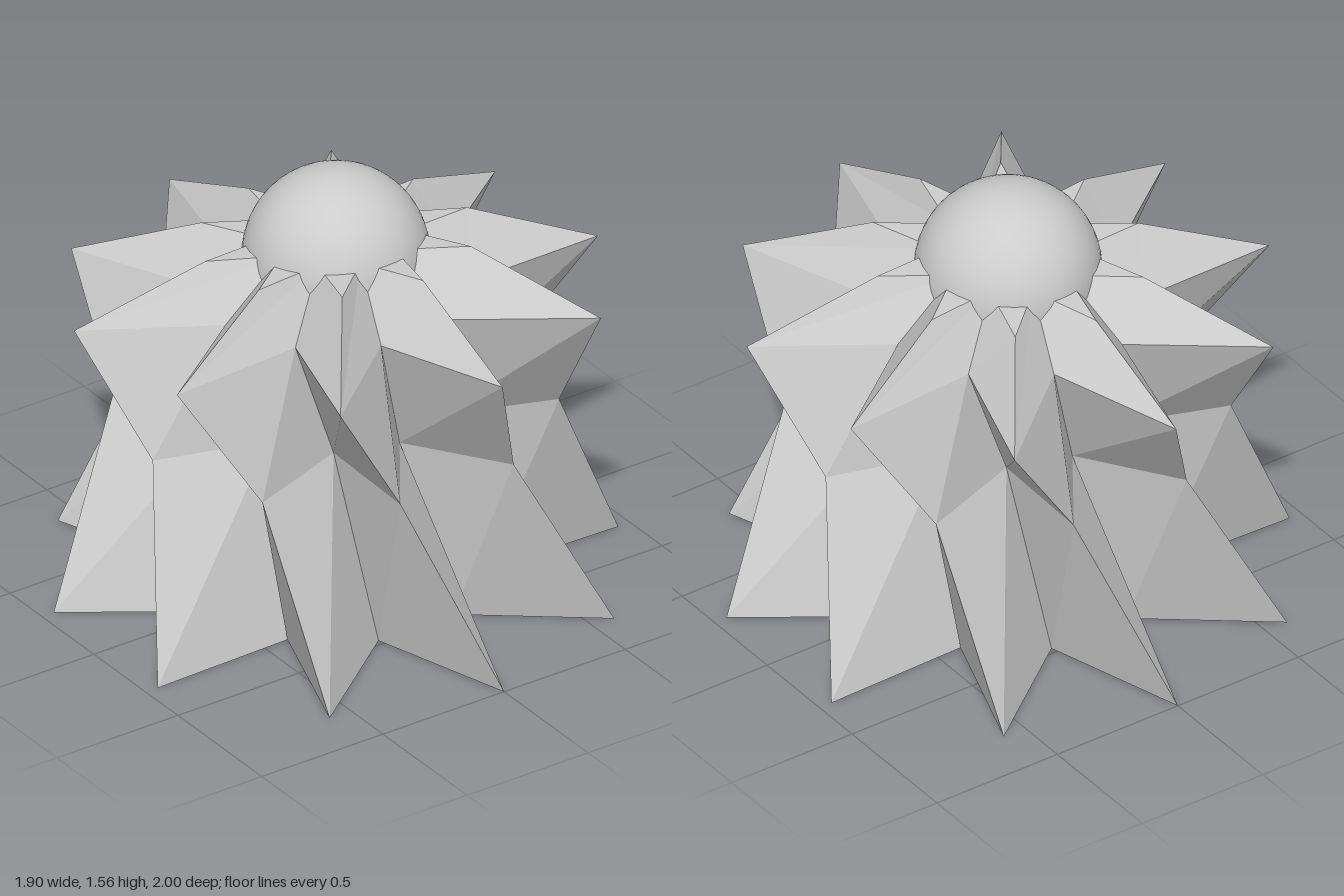
import * as THREE from 'three';

const POINTS = 10;
const SIDES = POINTS * 2;

// Star cross-sections from bottom to top: height, tip radius, twist in degrees, tilt (rise per unit of z)
const SECTIONS = [
  { y: 0, r: 1, twist: 0, tilt: 0 },
  { y: 0.68, r: 0.757, twist: -18, tilt: 0 },
  { y: 1.125, r: 0.94, twist: -33.8, tilt: 0.032 },
  { y: 1.317, r: 0.475, twist: -32.2, tilt: 0.075 },
];

// One corner of a star; odd corners are the valleys at half radius
function corner({ y, r, twist, tilt }, i) {
  const a = THREE.MathUtils.degToRad((i * 360) / SIDES + twist);
  const radius = i % 2 ? r / 2 : r;
  const z = radius * Math.cos(a);
  return [radius * Math.sin(a), y + tilt * z, z];
}

function starColumn() {
  const positions = [];
  const tri = (a, b, c) => positions.push(...a, ...b, ...c);
  const bottom = SECTIONS[0];
  const top = SECTIONS[SECTIONS.length - 1];
  for (let i = 0; i < SIDES; i++) {
    // Walls between neighbouring sections
    for (let s = 0; s < SECTIONS.length - 1; s++) {
      const a = corner(SECTIONS[s], i);
      const b = corner(SECTIONS[s], i + 1);
      const c = corner(SECTIONS[s + 1], i + 1);
      const d = corner(SECTIONS[s + 1], i);
      tri(a, b, c);
      tri(a, c, d);
    }
    // End caps
    tri([0, bottom.y, 0], corner(bottom, i + 1), corner(bottom, i));
    tri([0, top.y, 0], corner(top, i), corner(top, i + 1));
  }
  const geometry = new THREE.BufferGeometry();
  geometry.setAttribute('position', new THREE.Float32BufferAttribute(positions, 3));
  geometry.computeVertexNormals();
  return geometry;
}

export function createModel() {
  const model = new THREE.Group();
  model.name = 'twistedStarWithBall';

  // Twisted ten-pointed body
  const body = new THREE.Mesh(
    starColumn(),
    new THREE.MeshStandardMaterial({ color: 0xcccccc, flatShading: true })
  );
  body.name = 'starBody';

  // Smooth ball set into the top
  const ball = new THREE.Mesh(
    new THREE.SphereGeometry(0.32, 48, 32),
    new THREE.MeshStandardMaterial({ color: 0xcccccc })
  );
  ball.name = 'topBall';
  ball.position.y = 1.24;

  model.add(body, ball);
  return model;
}
